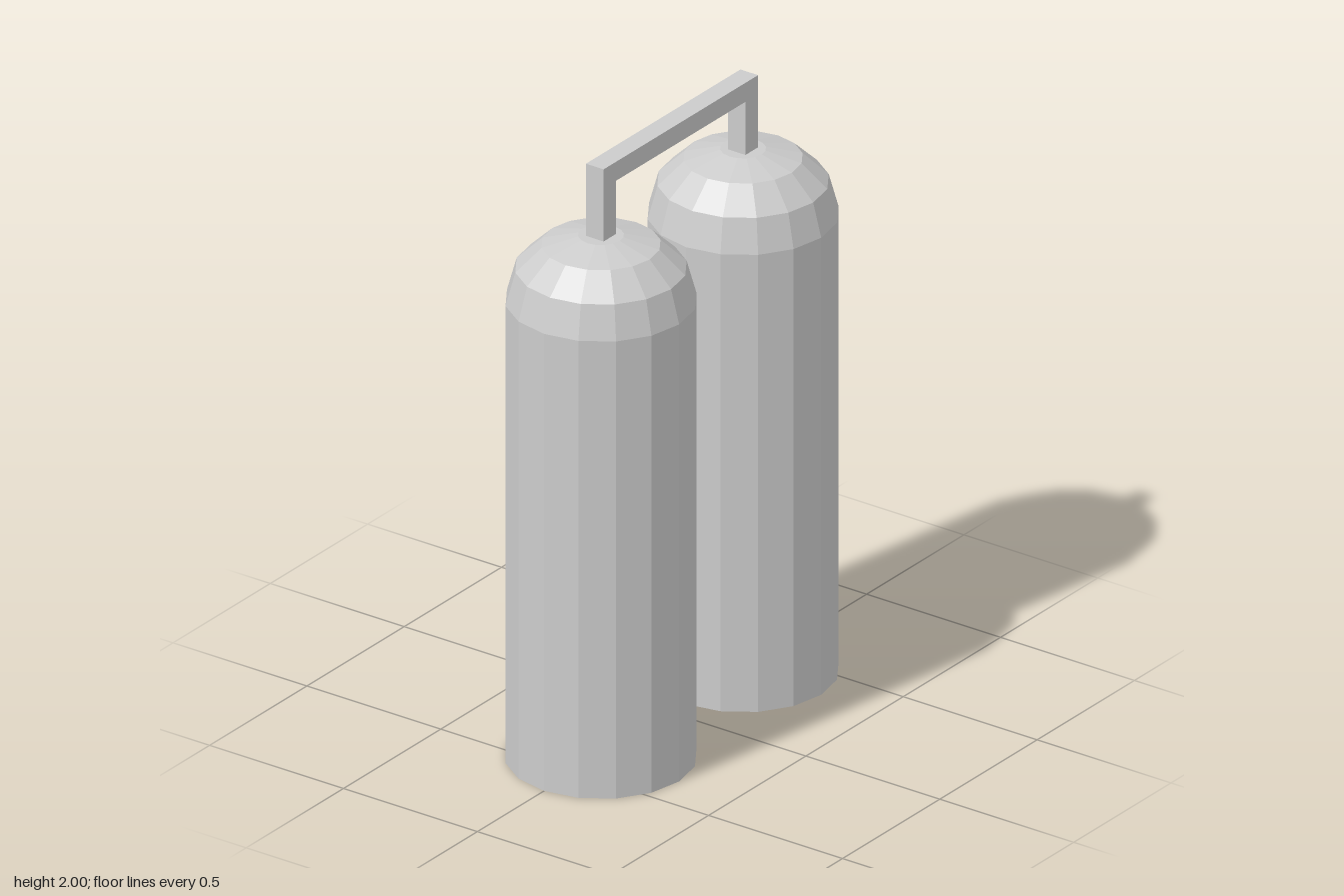
import * as THREE from 'three';

export function createModel() {
  const model = new THREE.Group();
  const shell = new THREE.MeshStandardMaterial({ color: 0xcccccc, flatShading: true, side: THREE.DoubleSide });
  const solid = new THREE.MeshStandardMaterial({ color: 0xcccccc, flatShading: true });

  // Tank: 16-sided shell, open underneath, with a faceted shoulder and flat top
  const profile = [
    [0.292, 0], [0.292, 1.54], [0.262, 1.65], [0.182, 1.727], [0.07, 1.757], [0, 1.757],
  ].map(([r, y]) => new THREE.Vector2(r, y));
  const tankGeometry = new THREE.LatheGeometry(profile, 16);
  for (const side of [1, -1]) {
    const tank = new THREE.Mesh(tankGeometry, shell);
    tank.name = side > 0 ? 'leftTank' : 'rightTank';
    tank.position.x = side * 0.365;
    model.add(tank);
  }

  // Square-section pipe bridging the two tank tops
  const outer = 0.397, inner = 0.332, base = 1.75, under = 1.936, depth = 0.066;
  const outline = new THREE.Shape([
    [-outer, base], [-inner, base], [-inner, under], [inner, under],
    [inner, base], [outer, base], [outer, 2], [-outer, 2],
  ].map(([x, y]) => new THREE.Vector2(x, y)));
  const pipeGeometry = new THREE.ExtrudeGeometry(outline, { depth, bevelEnabled: false });
  pipeGeometry.translate(0, 0, -depth / 2);
  const pipe = new THREE.Mesh(pipeGeometry, solid);
  pipe.name = 'connectingPipe';
  model.add(pipe);

  return model;
}
